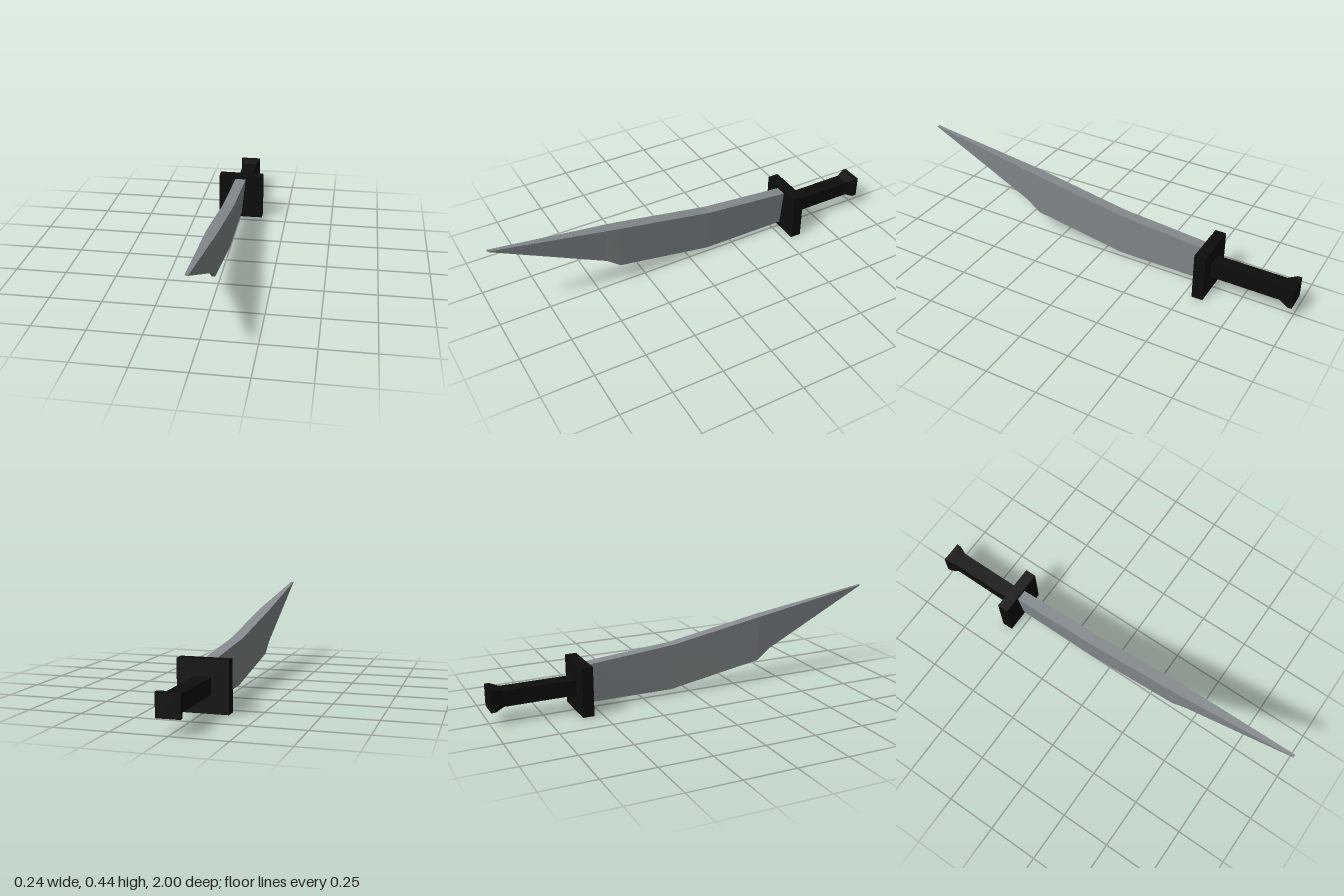
import * as THREE from 'three';

// Lofts four-cornered sections [z, bottomY, topY, bottomHalfWidth, topHalfWidth] along z
function loft(sections, cx = 0) {
  const rings = sections.map(([z, yb, yt, wb, wt]) => [
    [cx - wb, yb, z], [cx + wb, yb, z], [cx + wt, yt, z], [cx - wt, yt, z],
  ]);
  const pos = [];
  const quad = (a, b, c, d) => pos.push(...a, ...b, ...c, ...a, ...c, ...d);
  for (let k = 0; k < rings.length - 1; k++) {
    const r = rings[k], n = rings[k + 1];
    for (let i = 0; i < 4; i++) {
      const j = (i + 1) % 4;
      quad(r[i], r[j], n[j], n[i]);
    }
  }
  const first = rings[0];
  quad(first[3], first[2], first[1], first[0]);
  quad(...rings[rings.length - 1]);
  const g = new THREE.BufferGeometry();
  g.setAttribute('position', new THREE.Float32BufferAttribute(pos, 3));
  g.computeVertexNormals();
  return g;
}

export function createModel() {
  const group = new THREE.Group();
  const steel = new THREE.MeshStandardMaterial({ color: 0x858b8e });
  steel.name = 'steel';
  const black = new THREE.MeshStandardMaterial({ color: 0x0d0d0d });
  black.name = 'black';
  const add = (name, geometry, material) => {
    const mesh = new THREE.Mesh(geometry, material);
    mesh.name = name;
    group.add(mesh);
    return mesh;
  };

  // Blade: thick spine above, thin edge below, clipped towards the raised tip
  add('blade', loft([
    [-0.56, 0.027, 0.219, 0.008, 0.028],
    [-0.1, 0.027, 0.259, 0.008, 0.028],
    [0.38, 0.107, 0.342, 0.008, 0.028],
    [0.45, 0.162, 0.353, 0.008, 0.026],
    [1, 0.437, 0.439, 0.0075, 0.0075],
  ], -0.002), steel);

  // Square guard
  const guard = add('guard', new THREE.BoxGeometry(0.236, 0.238, 0.055), black);
  guard.position.set(0, 0.119, -0.568);

  // Square grip and flared pommel
  const cy = 0.122;
  const square = (z, h) => [z, cy - h, cy + h, h, h];
  add('grip', loft([square(-0.94, 0.038), square(-0.58, 0.038)]), black);
  add('pommel', loft([square(-1, 0.053), square(-0.978, 0.053), square(-0.938, 0.038)]), black);

  return group;
}
